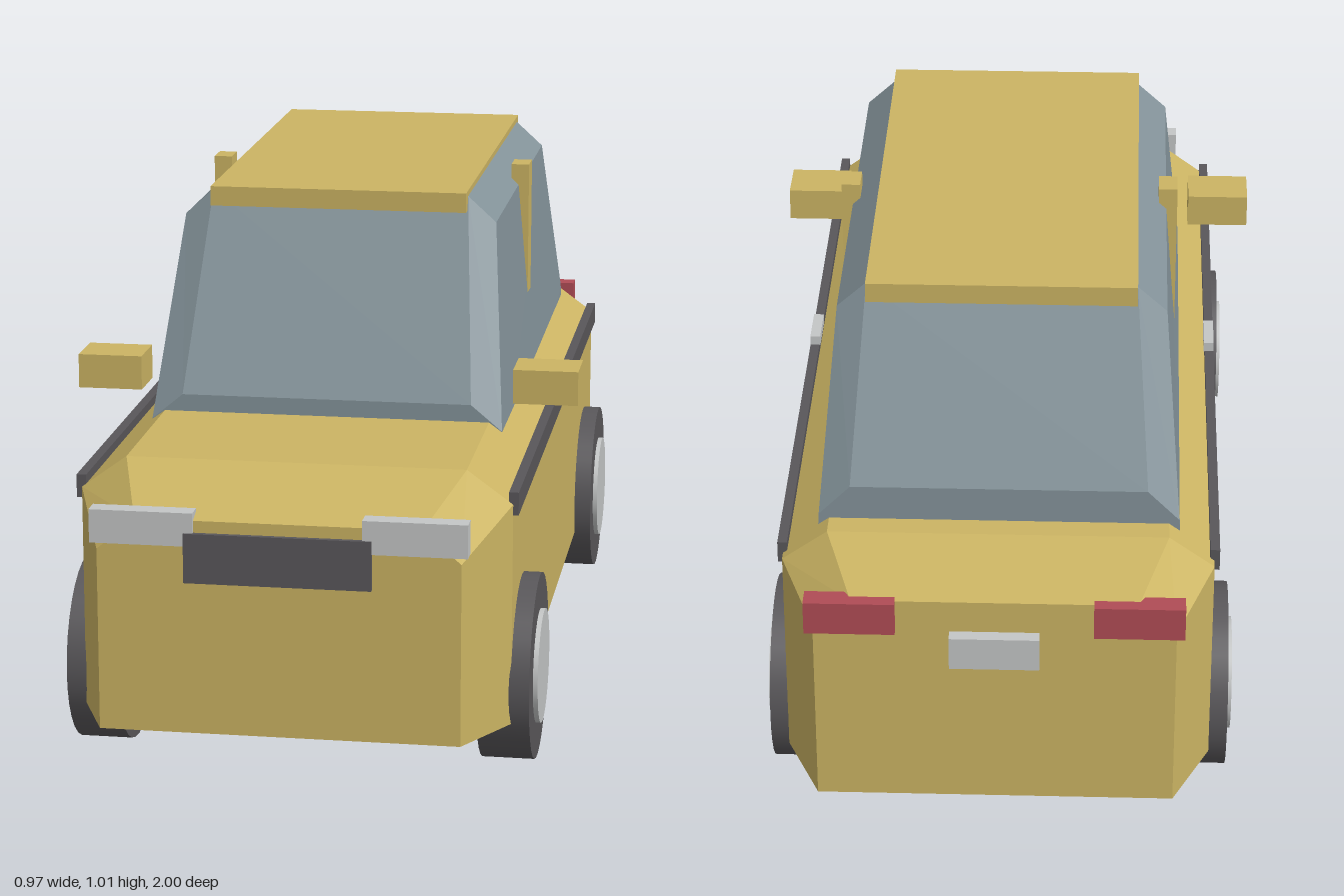
import * as THREE from 'three';

const mat = (name, color) => {
  const m = new THREE.MeshStandardMaterial({ color });
  m.name = name;
  return m;
};

// Hull through six-sided cross-sections, listed front to back.
// Each section: z, half widths at bottom / shoulder / top, and their heights.
function loft(sections) {
  const rings = sections.map(({ z, w, y }) => [
    [w[0], y[0], z], [w[1], y[1], z], [w[2], y[2], z],
    [-w[2], y[2], z], [-w[1], y[1], z], [-w[0], y[0], z],
  ]);
  const pos = [];
  const tri = (...p) => p.forEach((v) => pos.push(...v));
  for (let s = 0; s < rings.length - 1; s++) {
    const a = rings[s], b = rings[s + 1];
    for (let i = 0; i < 6; i++) {
      const j = (i + 1) % 6;
      tri(a[i], b[i], b[j]);
      tri(a[i], b[j], a[j]);
    }
  }
  const f = rings[0], r = rings[rings.length - 1];
  for (let i = 1; i < 5; i++) {
    tri(f[0], f[i], f[i + 1]);
    tri(r[0], r[i + 1], r[i]);
  }
  const g = new THREE.BufferGeometry();
  g.setAttribute('position', new THREE.Float32BufferAttribute(pos, 3));
  g.computeVertexNormals();
  return g;
}

export function createModel() {
  const car = new THREE.Group();
  car.name = 'car';
  const paint = mat('bodyPaint', 0xcbb463);
  const glass = mat('glass', 0x84939a);
  const dark = mat('darkRubber', 0x59575a);
  const silver = mat('silver', 0xc4c6c6);
  const red = mat('tailRed', 0xb04c55);

  const add = (name, geo, material) => {
    const m = new THREE.Mesh(geo, material);
    m.name = name;
    car.add(m);
    return m;
  };
  // Box given by its limits on each axis
  const box = (name, material, [x0, x1], [y0, y1], [z0, z1]) => {
    const m = add(name, new THREE.BoxGeometry(x1 - x0, y1 - y0, z1 - z0), material);
    m.position.set((x0 + x1) / 2, (y0 + y1) / 2, (z0 + z1) / 2);
    return m;
  };
  // Same box on both sides of the car
  const pair = (name, material, [x0, x1], y, z) => [
    box(name + 'Left', material, [x0, x1], y, z),
    box(name + 'Right', material, [-x1, -x0], y, z),
  ];

  // Body with tapered nose and tail
  add('body', loft([
    { z: 0.99, w: [0.33, 0.33, 0.26], y: [0.135, 0.475, 0.535] },
    { z: 0.8, w: [0.4, 0.4, 0.315], y: [0.115, 0.535, 0.597] },
    { z: -0.8, w: [0.4, 0.4, 0.315], y: [0.115, 0.535, 0.597] },
    { z: -0.975, w: [0.33, 0.33, 0.26], y: [0.133, 0.505, 0.563] },
  ]), paint);

  // Glass cabin
  add('cabin', loft([
    { z: 0.458, w: [0.341, 0.34, 0.28], y: [0.57, 0.58, 0.63] },
    { z: 0.28, w: [0.341, 0.305, 0.25], y: [0.57, 0.95, 1.0] },
    { z: -0.58, w: [0.337, 0.305, 0.25], y: [0.57, 0.95, 1.0] },
    { z: -0.753, w: [0.336, 0.334, 0.275], y: [0.57, 0.605, 0.665] },
  ]), glass);
  box('roof', paint, [-0.25, 0.25], [0.973, 1.011], [-0.605, 0.312]);

  // Side pillars, mirrors, trim strips and handles
  pair('pillar', paint, [0.29, 0.326], [0.7, 0.992], [-0.173, -0.116]);
  pair('mirror', paint, [0.36, 0.484], [0.636, 0.702], [0.36, 0.458]);
  pair('sideStrip', dark, [0.392, 0.41], [0.515, 0.558], [-0.78, 0.8]);
  pair('doorHandle', silver, [0.39, 0.41], [0.557, 0.577], [-0.042, 0.05]);

  // Front and rear details
  pair('headlight', silver, [0.153, 0.342], [0.488, 0.55], [0.96, 0.996]);
  box('grille', dark, [-0.17, 0.17], [0.421, 0.513], [0.97, 1.0]);
  pair('tailLight', red, [0.18, 0.345], [0.5, 0.565], [-0.99, -0.95]);
  box('rearPlate', silver, [-0.082, 0.082], [0.435, 0.5], [-1.0, -0.97]);

  // Wheels: tyre with a hub disc on the outside
  const tyre = new THREE.CylinderGeometry(0.176, 0.176, 0.098, 32).rotateZ(Math.PI / 2);
  const hub = new THREE.CylinderGeometry(0.108, 0.108, 0.03, 32).rotateZ(Math.PI / 2);
  for (const [end, z] of [['front', 0.635], ['rear', -0.625]]) {
    for (const [label, s] of [['Left', 1], ['Right', -1]]) {
      add(end + 'Tyre' + label, tyre, dark).position.set(s * 0.385, 0.176, z);
      add(end + 'Hub' + label, hub, silver).position.set(s * 0.428, 0.176, z);
    }
  }
  return car;
}
